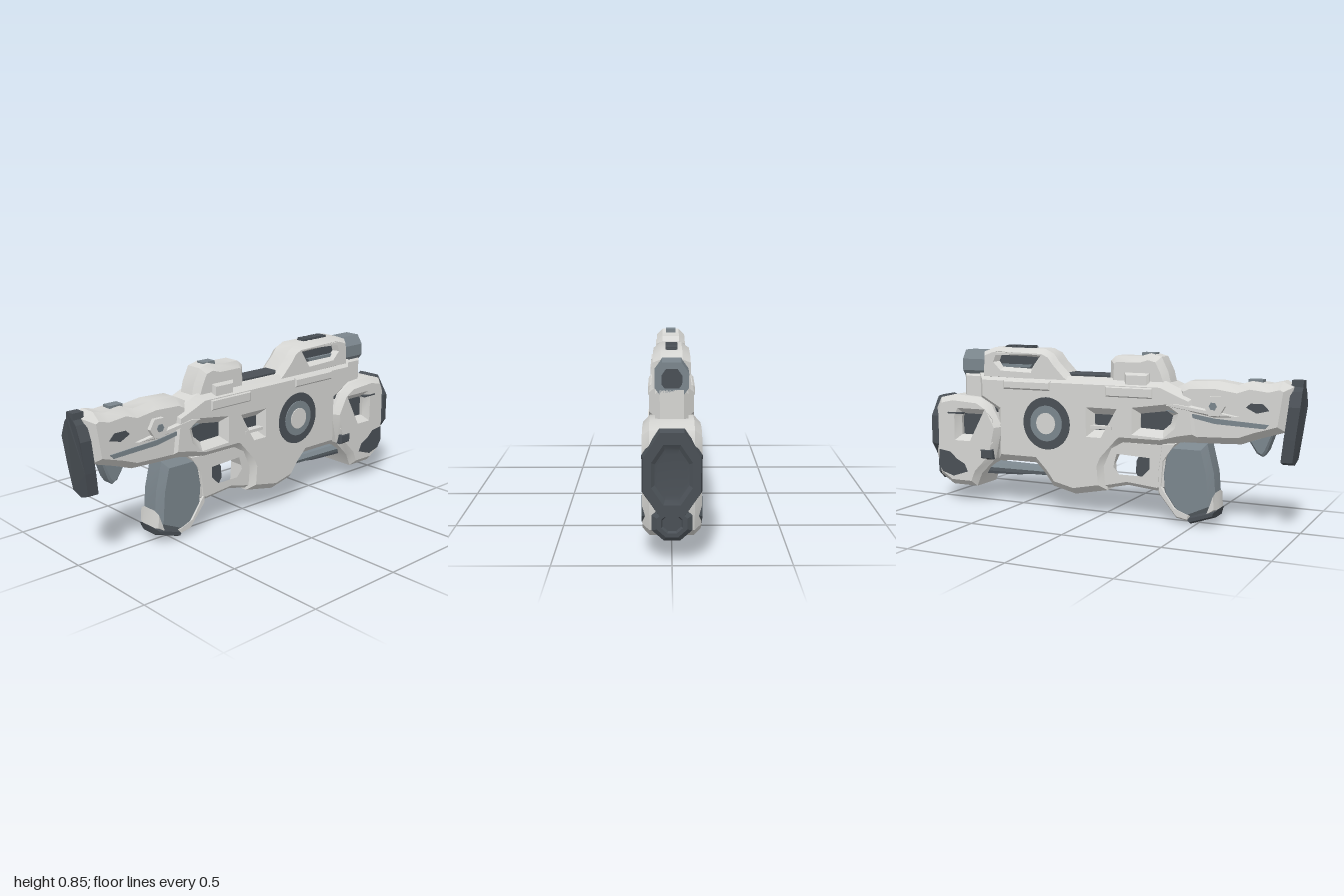
import * as THREE from 'three';
import { toCreasedNormals } from 'three/addons/utils/BufferGeometryUtils.js';

const mat = (name, color) => {
  const m = new THREE.MeshStandardMaterial({ color });
  m.name = name;
  return m;
};
const light = mat('lightShell', 0xd6d6d3);
const mid = mat('blueGrey', 0x7b868d);
const dark = mat('darkGrey', 0x4a5056);

const toShape = (pts) => new THREE.Shape(pts.map(([a, b]) => new THREE.Vector2(a, b)));
const rect = (z0, z1, y0, y1) => [[z0, y0], [z1, y0], [z1, y1], [z0, y1]];

export function createModel() {
  const model = new THREE.Group();
  const add = (name, geo, material) => {
    const mesh = new THREE.Mesh(geo, material);
    mesh.name = name;
    model.add(mesh);
    return mesh;
  };

  // Bevelled slab: side outline in (z, y), extending from -half to +half in x
  const slab = (name, material, pts, half, bevel = 0, thick = bevel, holes = []) => {
    const s = toShape(pts);
    for (const h of holes) s.holes.push(new THREE.Path(h.map(([a, b]) => new THREE.Vector2(a, b))));
    const depth = 2 * (half - thick);
    const g = new THREE.ExtrudeGeometry(s, {
      depth, bevelEnabled: bevel > 0, bevelSize: bevel, bevelThickness: thick,
      bevelOffset: -bevel, bevelSegments: 1,
    });
    g.translate(0, 0, -depth / 2);
    g.rotateY(-Math.PI / 2);
    return add(name, toCreasedNormals(g, 0.5), material);
  };
  // Round or polygonal pin running across the model
  const pin = (name, material, z, y, r, half, sides) => {
    const g = new THREE.CylinderGeometry(r, r, half * 2, sides);
    g.rotateZ(Math.PI / 2);
    g.translate(0, y, z);
    add(name, toCreasedNormals(g, 0.6), material);
  };
  // Outline in (x, y), extruded along z
  const facing = (name, material, pts, z0, z1, hole) => {
    const s = toShape(pts);
    if (hole) s.holes.push(new THREE.Path(hole.map(([a, b]) => new THREE.Vector2(a, b))));
    const g = new THREE.ExtrudeGeometry(s, { depth: z1 - z0, bevelEnabled: false });
    g.translate(0, 0, z0);
    return add(name, g, material);
  };
  const mirrorX = (half) => [...half, ...half.map(([x, y]) => [-x, y]).reverse()];

  // Main body with two window openings
  const rearWindow = [[0.38, 0.53], [0.35, 0.55], [0.21, 0.53], [0.21, 0.46], [0.33, 0.455], [0.37, 0.49]];
  const midWindow = rect(-0.04, 0.06, 0.435, 0.515);
  slab('body', light, [
    [0.5, 0.63], [0.4, 0.67], [0.33, 0.70], [-0.72, 0.70], [-0.72, 0.56], [-0.61, 0.50], [-0.61, 0.24],
    [-0.38, 0.24], [-0.33, 0.19], [-0.28, 0.125], [-0.15, 0.095], [0.03, 0.13], [0.02, 0.25], [0.06, 0.34],
    [0.12, 0.375], [0.33, 0.375], [0.42, 0.40], [0.53, 0.42],
  ], 0.097, 0.035, 0.035, [rearWindow, midWindow]);
  slab('windowInterior', dark, rect(-0.1, 0.43, 0.42, 0.57), 0.06);
  slab('windowBar', light, rect(-0.05, 0.07, 0.445, 0.46), 0.1);

  // Side disc in three steps
  pin('discOuter', dark, -0.30, 0.455, 0.135, 0.1, 40);
  pin('discMiddle', mid, -0.30, 0.455, 0.092, 0.104, 32);
  pin('discCentre', light, -0.30, 0.455, 0.055, 0.108, 24);

  // Trigger guard and trigger
  slab('triggerGuard', light, [
    [0.36, 0.40], [0.36, 0.16], [0.30, 0.15], [0.14, 0.165], [-0.02, 0.13], [-0.02, 0.40],
  ], 0.07, 0.018, 0.018, [[[0.28, 0.33], [0.28, 0.25], [0.23, 0.2], [0.09, 0.2], [0.045, 0.25], [0.07, 0.34]]]);
  slab('trigger', dark, [[0.29, 0.35], [0.29, 0.19], [0.2, 0.19], [0.175, 0.23], [0.18, 0.29], [0.21, 0.35]], 0.04);

  // Grip
  slab('grip', mid, [
    [0.55, 0.40], [0.585, 0.26], [0.6, 0.08], [0.47, 0.02], [0.40, 0.03], [0.32, 0.14], [0.31, 0.24], [0.34, 0.40],
  ], 0.073, 0.03);
  slab('gripFrontEdge', light, [
    [0.41, 0.40], [0.345, 0.30], [0.335, 0.18], [0.40, 0.085], [0.48, 0.055], [0.47, 0.012], [0.40, 0.025],
    [0.305, 0.14], [0.30, 0.25], [0.32, 0.40],
  ], 0.075, 0.012, 0.02);
  slab('gripHeel', light, [[0.594, 0.165], [0.607, 0.08], [0.55, 0.05], [0.57, 0.12]], 0.07, 0.01, 0.03);
  slab('gripBase', dark, [[0.61, 0.085], [0.6, 0.045], [0.47, 0], [0.45, 0.025], [0.47, 0.045]], 0.078, 0.012, 0.035);

  // Shoulder stock with its fittings
  slab('stock', light, [
    [0.96, 0.69], [0.91, 0.715], [0.85, 0.70], [0.76, 0.71], [0.70, 0.69], [0.6, 0.705], [0.46, 0.70], [0.40, 0.67],
    [0.42, 0.40], [0.6, 0.405], [0.72, 0.41], [0.8, 0.44], [0.93, 0.48],
  ], 0.083, 0.035, 0.04);
  slab('stockVent', dark, [[0.86, 0.58], [0.83, 0.61], [0.77, 0.61], [0.75, 0.59], [0.80, 0.565]], 0.086);
  slab('stockGroove', mid, [[0.86, 0.515], [0.6, 0.53], [0.4, 0.56], [0.35, 0.555], [0.6, 0.505], [0.84, 0.495]], 0.088);
  slab('stockRidge', light, [[0.72, 0.545], [0.4, 0.60], [0.34, 0.58], [0.6, 0.535]], 0.1, 0.01, 0.015);
  pin('stockBolt', light, 0.60, 0.59, 0.052, 0.105, 6);
  pin('boltCentre', mid, 0.595, 0.59, 0.02, 0.108, 6);
  slab('stockHook', mid, [[0.87, 0.47], [0.84, 0.385], [0.82, 0.355], [0.79, 0.37], [0.75, 0.43]], 0.04, 0.01);
  slab('stockTopButton', mid, rect(0.74, 0.81, 0.69, 0.717), 0.025);

  // Butt plate, leaning forward towards its foot
  const butt = facing('buttPlate', dark, mirrorX([
    [0.025, 0.72], [0.027, 0.69], [0.045, 0.67], [0.075, 0.6], [0.07, 0.45], [0.06, 0.34], [0.001, 0.32],
  ]), 0.945, 1.0);
  const bp = butt.geometry.attributes.position;
  for (let i = 0; i < bp.count; i++) bp.setZ(i, bp.getZ(i) - Math.max(0, 0.6 - bp.getY(i)) * 0.13);
  butt.geometry.computeVertexNormals();

  // Rear sight, its side plates and the top rail
  slab('rearSight', light, [
    [0.365, 0.66], [0.345, 0.74], [0.31, 0.81], [0.25, 0.825], [0.2, 0.81], [0.07, 0.81], [0.04, 0.785], [0.035, 0.66],
  ], 0.072, 0.03);
  slab('rearSightPlate', light, rect(0.03, 0.29, 0.605, 0.665), 0.103, 0.01);
  slab('rearSightTab', light, rect(0.13, 0.26, 0.64, 0.73), 0.09, 0.012);
  slab('rearSightCap', mid, rect(0.2, 0.27, 0.8, 0.828), 0.025);
  slab('topRail', dark, rect(-0.2, 0.04, 0.68, 0.717), 0.045, 0.008);

  // Upper housing with a long slot
  const slot = [[-0.37, 0.785], [-0.585, 0.79], [-0.595, 0.765], [-0.57, 0.74], [-0.41, 0.735]];
  slab('upperHousing', light, [
    [-0.15, 0.66], [-0.19, 0.71], [-0.25, 0.77], [-0.28, 0.81], [-0.33, 0.833], [-0.63, 0.835], [-0.70, 0.81], [-0.71, 0.66],
  ], 0.082, 0.025, 0.035, [slot]);
  slab('slotInterior', dark, rect(-0.62, -0.35, 0.72, 0.80), 0.055);
  slab('slotLip', mid, [[-0.41, 0.735], [-0.57, 0.735], [-0.58, 0.75], [-0.4, 0.75]], 0.07);
  slab('housingLedge', light, rect(-0.555, -0.275, 0.62, 0.672), 0.105, 0.01);
  for (let i = 0; i < 5; i++) {
    const z = -0.43 - i * 0.033;
    slab('railTooth', dark, rect(z - 0.012, z + 0.012, 0.82, 0.846), 0.027);
  }
  slab('railToothBase', dark, rect(-0.585, -0.41, 0.82, 0.839), 0.022);

  // Front sight hood on its neck
  slab('frontNeck', light, rect(-0.82, -0.65, 0.5, 0.70), 0.07, 0.02);
  const hood = [[0.04, 0.817], [0.072, 0.77], [0.072, 0.71], [0.05, 0.68]];
  facing('frontSightHood', mid, mirrorX(hood), -0.82, -0.685,
    mirrorX(hood).map(([x, y]) => [x * 0.6, 0.748 + (y - 0.748) * 0.6]));
  facing('hoodInterior', dark, mirrorX(hood.map(([x, y]) => [x * 0.8, 0.748 + (y - 0.748) * 0.8])), -0.79, -0.7);

  // Front block with a window opening
  const frontWindow = [[-0.64, 0.365], [-0.64, 0.45], [-0.67, 0.48], [-0.81, 0.48], [-0.82, 0.46], [-0.82, 0.365]];
  slab('frontBlock', light, [
    [-0.57, 0.42], [-0.63, 0.53], [-0.70, 0.57], [-0.86, 0.58], [-0.95, 0.56], [-0.98, 0.5], [-0.985, 0.25],
    [-0.96, 0.14], [-0.88, 0.09], [-0.73, 0.09], [-0.70, 0.16], [-0.61, 0.25],
  ], 0.123, 0.03, 0.03, [frontWindow]);
  slab('frontWindowInterior', dark, rect(-0.85, -0.61, 0.33, 0.52), 0.075);
  slab('frontDarkPatch', dark, [
    [-0.77, 0.17], [-0.79, 0.21], [-0.84, 0.235], [-0.88, 0.27], [-0.95, 0.28], [-0.955, 0.2], [-0.93, 0.16], [-0.86, 0.14],
  ], 0.125);
  slab('sideCatch', dark, rect(-0.69, -0.615, 0.245, 0.3), 0.127, 0.008);
  slab('frontSeam', dark, rect(-0.89, -0.8, 0.478, 0.486), 0.125);

  // Octagonal muzzles, hollow towards the front end
  const muzzle = (name, pts, y, sx, sy) => {
    const g = new THREE.LatheGeometry(pts.map(([r, h]) => new THREE.Vector2(r, h)), 8, Math.PI / 8);
    g.rotateX(-Math.PI / 2);
    g.scale(sx, sy, 1);
    g.translate(0, y, 0);
    add(name, toCreasedNormals(g, 0.3), dark);
  };
  muzzle('mainMuzzle', [[1.0, 0.94], [1.06, 0.965], [1.0, 1.0], [0.72, 1.0], [0.6, 0.99], [0.5, 0.987], [0, 0.987]], 0.385, 0.127, 0.19);
  muzzle('lowerMuzzle', [[1.2, 0.94], [1.2, 0.985], [0.9, 1.0], [0.65, 1.0], [0.55, 0.988], [0, 0.988]], 0.18, 0.075, 0.068);

  // Tube under the barrel
  const tube = new THREE.CylinderGeometry(0.034, 0.026, 0.46, 8);
  tube.rotateX(-Math.PI / 2);
  tube.scale(1.6, 1, 1);
  tube.translate(0, 0.19, -0.53);
  add('underTube', toCreasedNormals(tube, 0.3), mid);
  slab('underTubeFin', dark, [[-0.32, 0.185], [-0.5, 0.16], [-0.72, 0.15], [-0.72, 0.2]], 0.03);

  return model;
}
